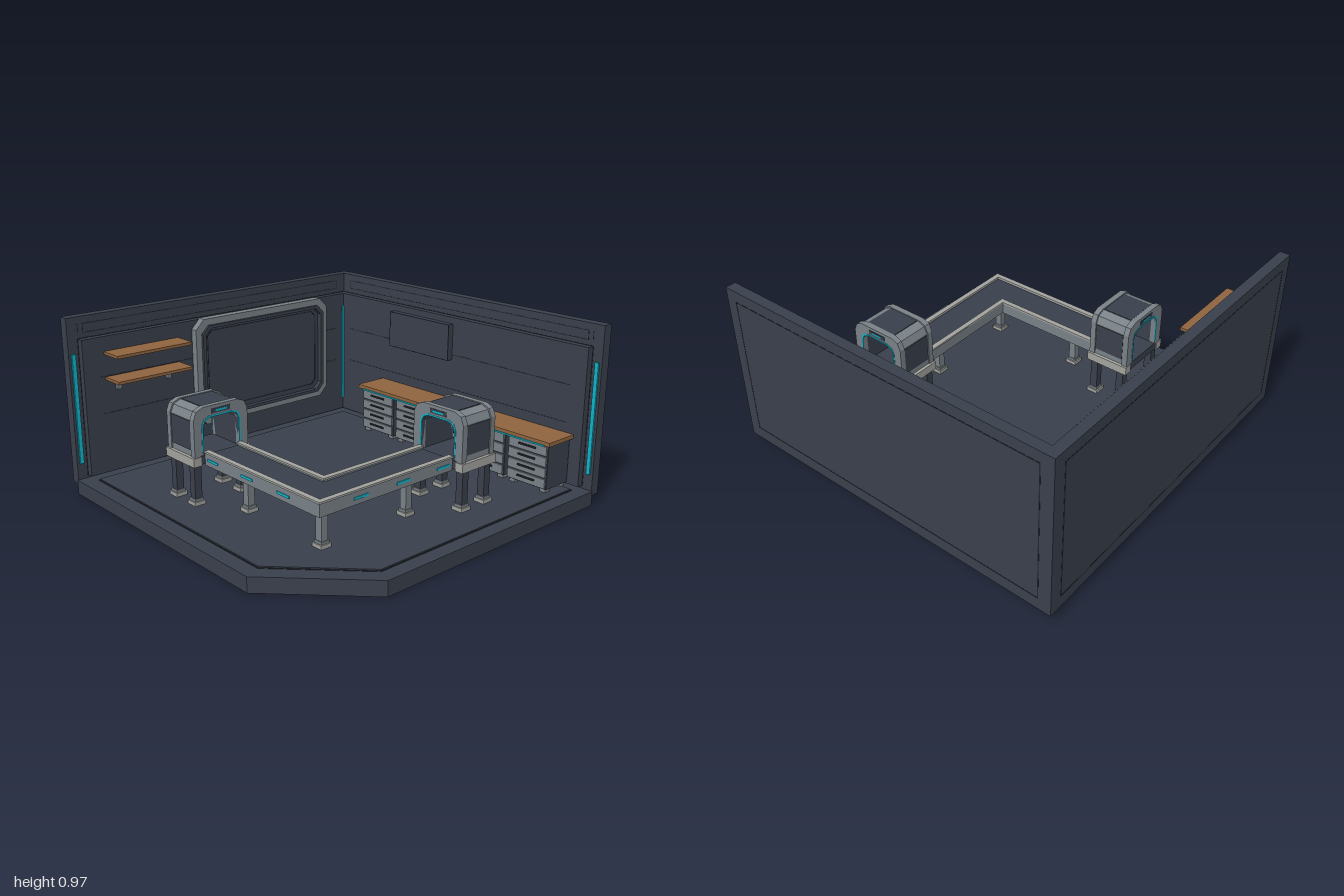
import * as THREE from 'three';

const mat = (name, color) => {
  const m = new THREE.MeshStandardMaterial({ color });
  m.name = name;
  return m;
};

export function createModel() {
  const slate = mat('slate', 0x3a404c), groove = mat('groove', 0x22262e);
  const steel = mat('steel', 0x7a8288), pale = mat('paleMetal', 0xa3a49f);
  const wood = mat('wood', 0x91653f), cyan = mat('cyanLight', 0x0fb4cb);
  const root = new THREE.Group();

  const mesh = (parent, name, geo, material) => {
    const m = new THREE.Mesh(geo, material);
    m.name = name;
    parent.add(m);
    return m;
  };
  // box from its extents on each axis
  const box = (parent, name, material, x0, x1, y0, y1, z0, z1) => {
    const m = mesh(parent, name, new THREE.BoxGeometry(x1 - x0, y1 - y0, z1 - z0), material);
    m.position.set((x0 + x1) / 2, (y0 + y1) / 2, (z0 + z1) / 2);
    return m;
  };
  const poly = pts => pts.map(p => new THREE.Vector2(p[0], p[1]));
  const extrude = (outer, hole, depth) => {
    const s = new THREE.Shape(poly(outer));
    if (hole) s.holes.push(new THREE.Path(poly(hole)));
    return new THREE.ExtrudeGeometry(s, { depth, bevelEnabled: false });
  };
  // rectangle with cut corners
  const cutRect = (x0, x1, y0, y1, c) => [[x0 + c, y0], [x1 - c, y0], [x1, y0 + c], [x1, y1 - c],
    [x1 - c, y1], [x0 + c, y1], [x0, y1 - c], [x0, y0 + c]];
  // thin rectangular line in the xy plane, facing +z or -z
  const lineRect = (parent, name, x0, x1, y0, y1, z, w = 0.006) => {
    const d = 0.001;
    box(parent, name, groove, x0, x1, y0, y0 + w, z - d, z + d);
    box(parent, name, groove, x0, x1, y1 - w, y1, z - d, z + d);
    box(parent, name, groove, x0, x0 + w, y0, y1, z - d, z + d);
    box(parent, name, groove, x1 - w, x1, y0, y1, z - d, z + d);
  };

  // floor slab with one cut corner, and its inset plate
  const floorOutline = (x0, x1, z0, z1, c) => [[x0, -z1], [x1 - c, -z1], [x1, -z1 + c], [x1, -z0], [x0, -z0]];
  const flat = (name, geo, material, y) => {
    const m = mesh(root, name, geo, material);
    m.rotation.x = -Math.PI / 2;
    m.position.y = y;
  };
  const inset = floorOutline(-0.865, 0.91, -0.87, 0.905, 0.385);
  flat('floorSlab', extrude(floorOutline(-0.945, 0.995, -0.945, 0.995, 0.435), null, 0.08), slate, 0);
  flat('floorPlate', extrude(inset, null, 0.008), slate, 0.08);
  flat('floorGroove', extrude(floorOutline(-0.871, 0.916, -0.876, 0.911, 0.387), inset, 0.003), groove, 0.079);

  // walls: local x runs along the wall, +z faces the room
  const wall = name => {
    const g = new THREE.Group();
    g.name = name;
    root.add(g);
    box(g, 'wallSlab', slate, -1, 0.99, 0.055, 0.97, -1, -0.943);
    box(g, 'wallPanel', slate, -0.943, 0.93, 0.095, 0.852, -0.95, -0.905);
    lineRect(g, 'trimGroove', -0.88, 0.9, 0.88, 0.932, -0.943, 0.004);
    lineRect(g, 'panelOutline', -0.943, 0.934, 0.091, 0.856, -0.943);
    lineRect(g, 'outerGroove', -0.93, 0.93, 0.12, 0.91, -1);
    box(g, 'trimNotch', groove, 0.925, 0.929, 0.88, 0.932, -0.944, -0.942);
    for (const y of [0.43, 0.635])
      box(g, 'panelGroove', groove, -0.84, 0.83, y - 0.002, y + 0.002, -0.906, -0.904);
    box(g, 'lightStrip', cyan, 0.953, 0.975, 0.17, 0.775, -0.943, -0.933);
    return g;
  };
  wall('backWall');
  const left = wall('leftWall');
  // mirror across the diagonal: rotate, then flip along the wall
  left.rotation.y = Math.PI / 2;
  left.scale.x = -1;
  box(root, 'cornerLight', cyan, -0.906, -0.898, 0.17, 0.775, -0.904, -0.89);
  box(root, 'wallScreen', slate, -0.45, 0.02, 0.605, 0.815, -0.906, -0.868);
  lineRect(root, 'wallScreenEdge', -0.45, 0.02, 0.605, 0.815, -0.868, 0.003);

  // large framed display on the left wall
  const sideways = (name, geo, material, x) => {
    const m = mesh(root, name, geo, material);
    m.rotation.y = Math.PI / 2;
    m.position.x = x;
  };
  const opening = cutRect(-0.21, 0.685, 0.272, 0.82, 0.045);
  sideways('displayFrame', extrude(cutRect(-0.247, 0.724, 0.237, 0.857, 0.055), opening, 0.053), steel, -0.916);
  sideways('displayBezel', extrude(opening, cutRect(-0.19, 0.665, 0.29, 0.802, 0.04), 0.062), slate, -0.91);
  sideways('displayPanel', extrude(opening, null, 0.03), slate, -0.908);
  sideways('displayGroove', extrude(cutRect(-0.163, 0.643, 0.317, 0.785, 0.03),
    cutRect(-0.158, 0.638, 0.322, 0.78, 0.028), 0.003), groove, -0.879);

  // wall shelves and brackets
  for (const y of [0.615, 0.755]) box(root, 'shelf', wood, -0.908, -0.768, y, y + 0.016, 0.34, 0.805);
  for (const z of [0.42, 0.735]) {
    box(root, 'shelfBracket', steel, -0.908, -0.85, 0.6, 0.615, z - 0.012, z + 0.012);
    box(root, 'shelfBracket', steel, -0.908, -0.885, 0.555, 0.6, z - 0.012, z + 0.012);
  }

  // counter with five drawer units
  box(root, 'counterTop', wood, -0.54, 0.88, 0.353, 0.375, -0.912, -0.7);
  box(root, 'counterLight', cyan, -0.5, 0.85, 0.349, 0.357, -0.702, -0.694);
  for (let i = 0; i < 5; i++) {
    const x = -0.385 + i * 0.28;
    box(root, 'cabinet', slate, x - 0.128, x + 0.128, 0.108, 0.353, -0.897, -0.72);
    for (let j = 0; j < 4; j++) {
      const y = 0.114 + j * 0.06;
      box(root, 'drawer', steel, x - 0.122, x + 0.122, y, y + 0.051, -0.72, -0.71);
      box(root, 'drawerHandle', groove, x - 0.055, x + 0.055, y + 0.026, y + 0.035, -0.71, -0.702);
    }
    for (const dx of [-0.1, 0.1]) for (const z of [-0.87, -0.745])
      box(root, 'cabinetFoot', steel, x + dx - 0.018, x + dx + 0.018, 0.086, 0.108, z - 0.018, z + 0.018);
  }

  // L-shaped conveyor: side rails, caps and belt
  const lShape = (a, b) => [[-0.2, -b], [b, -b], [b, 0.2], [a, 0.2], [a, -a], [-0.2, -a]];
  const lBar = (name, a, b, y0, y1, material) => flat(name, extrude(lShape(a, b), null, y1 - y0), material, y0);
  lBar('belt', 0.46, 0.66, 0.315, 0.355, slate);
  for (const [a, b] of [[0.45, 0.47], [0.65, 0.67]]) {
    lBar('conveyorSide', a, b, 0.298, 0.364, steel);
    lBar('conveyorCap', a - 0.005, b + 0.005, 0.364, 0.374, pale);
  }
  for (const u of [-0.135, 0.143, 0.418]) {
    box(root, 'conveyorLight', cyan, u - 0.045, u + 0.045, 0.324, 0.337, 0.668, 0.674);
    box(root, 'conveyorLight', cyan, 0.668, 0.674, 0.324, 0.337, u - 0.045, u + 0.045);
  }

  // legs with splayed foot blocks
  const leg = (parent, x, z, w, material) => {
    box(parent, 'leg', material, x - w, x + w, 0.1, 0.3, z - w, z + w);
    box(parent, 'foot', pale, x - w - 0.012, x + w + 0.012, 0.086, 0.108, z - w - 0.012, z + w + 0.012);
    box(parent, 'footCollar', steel, x - w - 0.005, x + w + 0.005, 0.108, 0.122, z - w - 0.005, z + w + 0.005);
  };
  for (const [x, z] of [[0.01, 0.56], [0.56, 0.56], [0.56, 0.01]]) {
    leg(root, x, z, 0.02, steel);
    box(root, 'legHead', steel, x - 0.03, x + 0.03, 0.28, 0.315, z - 0.03, z + 0.03);
  }

  // arched tunnel outline; w half width, h height, c corner cut
  const arch = (w, h, c) => [[-w, 0.345], [w, 0.345], [w, h - c], [w - c * 0.3, h - c * 0.3],
    [w - c, h], [-w + c, h], [-w + c * 0.3, h - c * 0.3], [-w, h - c]];
  const ring = (w, h, c, w2, h2, c2) => {
    const o = arch(w, h, c), i = arch(w2, h2, c2);
    return [...o.slice(1), o[0], i[0], ...i.slice(1).reverse()];
  };

  // scanner machine: tunnel runs along local x
  const machine = (name, x, z, turn) => {
    const g = new THREE.Group();
    g.name = name;
    g.position.set(x, 0, z);
    g.rotation.y = turn;
    root.add(g);
    const along = (part, pts, x0, x1, material) => {
      const m = mesh(g, part, extrude(pts, null, x1 - x0), material);
      m.rotation.y = Math.PI / 2;
      m.position.x = x0;
    };
    along('housing', ring(0.158, 0.593, 0.055, 0.118, 0.548, 0.045), -0.1, 0.1, steel);
    along('lining', ring(0.118, 0.548, 0.045, 0.112, 0.542, 0.043), -0.115, 0.115, slate);
    for (const s of [-1, 1]) {
      const a = s < 0 ? -0.12 : 0.088;
      along('endFrame', ring(0.165, 0.6, 0.058, 0.112, 0.542, 0.043), a, a + 0.032, steel);
      along('openingLight', ring(0.119, 0.549, 0.046, 0.11, 0.54, 0.042).map(p => [p[0], Math.max(p[1], 0.365)]),
        s < 0 ? -0.122 : 0.118, s < 0 ? -0.118 : 0.122, cyan);
      box(g, 'signPlate', slate, s * 0.121 - 0.002, s * 0.121 + 0.002, 0.558, 0.583, -0.055, 0.055);
      box(g, 'signLight', cyan, s * 0.123 - 0.002, s * 0.123 + 0.002, 0.566, 0.576, -0.035, 0.035);
      box(g, 'sidePanel', slate, -0.085, 0.085, 0.378, 0.532, s * 0.159 - 0.003, s * 0.159 + 0.003);
      box(g, 'baseRail', pale, -0.125, 0.125, 0.298, 0.345, s * 0.152 - 0.024, s * 0.152 + 0.024);
      for (const u of [-0.08, 0.085]) leg(g, u, s * 0.142, 0.021, slate);
    }
    box(g, 'roofPanel', slate, -0.085, 0.085, 0.592, 0.597, -0.095, 0.095);
    box(g, 'bed', slate, -0.12, 0.125, 0.305, 0.35, -0.13, 0.13);
  };
  machine('frontMachine', -0.325, 0.562, 0);
  machine('backMachine', 0.562, -0.325, -Math.PI / 2);

  return root;
}
